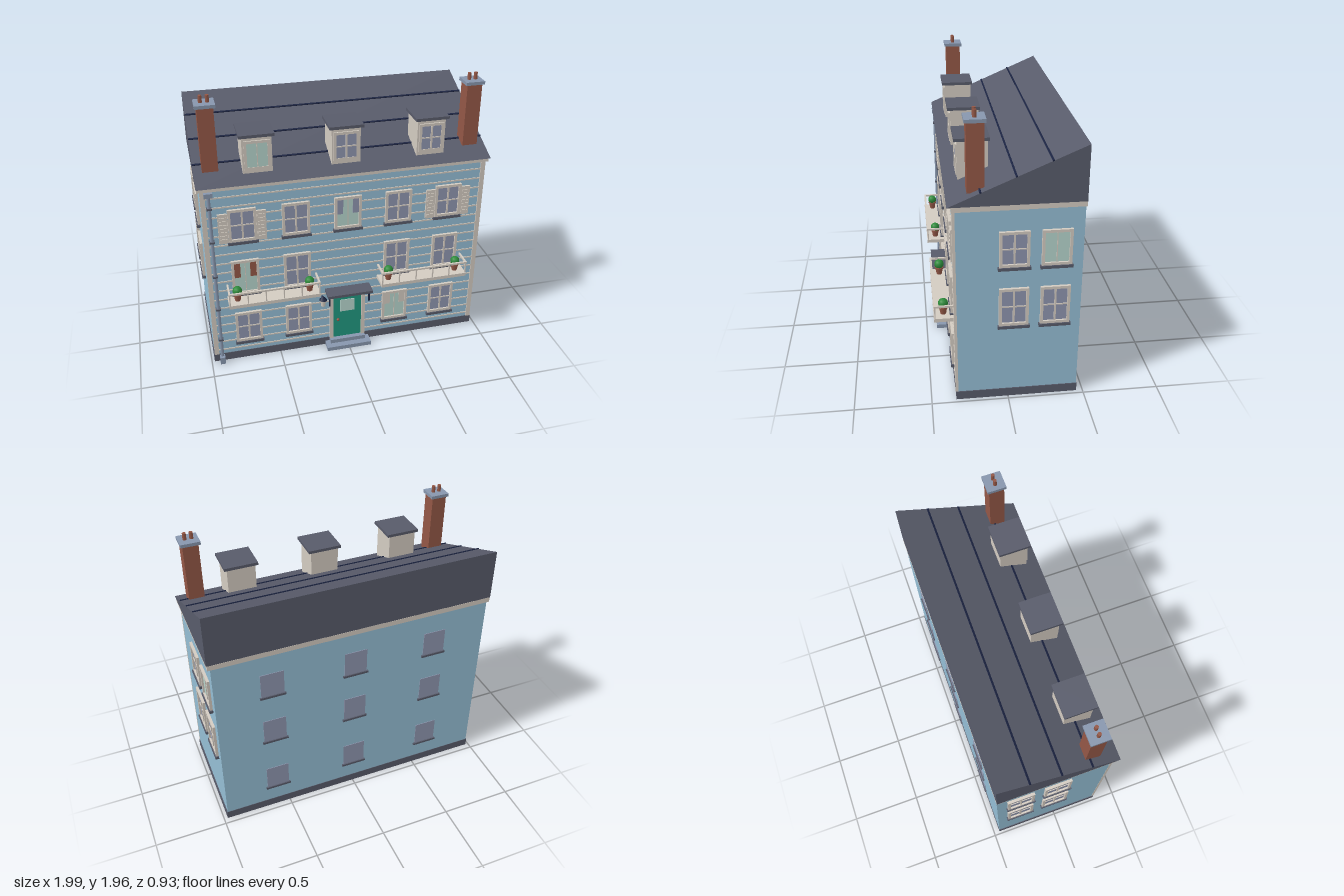
import * as THREE from 'three';

const mat = (name, color, side = THREE.FrontSide) => {
  const m = new THREE.MeshStandardMaterial({ color, side });
  m.name = name;
  return m;
};
const M = {
  wall: mat('blue siding', 0x94bdd4),
  trim: mat('cream trim', 0xd3cbc1),
  slate: mat('slate', 0x585b6a),
  glass: mat('window glass', 0x8e95ae),
  stone: mat('grey stone', 0x8796ad),
  navy: mat('dark navy', 0x1b2340),
  brick: mat('brick red', 0x935746),
  door: mat('door green', 0x20967f),
  curtain: mat('pale curtain', 0xb5d5cc),
  leaf: mat('leaf green', 0x2c8a3a),
};

const FRONT = 0.335, BACK = -0.455, HALF = 0.972;

function add(parent, name, geo, material, x = 0, y = 0, z = 0) {
  const mesh = new THREE.Mesh(geo, material);
  mesh.name = name;
  mesh.position.set(x, y, z);
  parent.add(mesh);
  return mesh;
}

// Box given by its extents on each axis
function box(parent, name, material, [x0, x1], [y0, y1], [z0, z1]) {
  return add(parent, name, new THREE.BoxGeometry(x1 - x0, y1 - y0, z1 - z0), material,
    (x0 + x1) / 2, (y0 + y1) / 2, (z0 + z1) / 2);
}

function group(parent, name, x = 0, y = 0, z = 0) {
  const g = new THREE.Group();
  g.name = name;
  g.position.set(x, y, z);
  parent.add(g);
  return g;
}

// Rectangular frame with an opening
function frameGeometry(w, h, t, depth) {
  const rect = (C, a, b) => {
    const p = new C();
    p.moveTo(-a, -b); p.lineTo(a, -b); p.lineTo(a, b); p.lineTo(-a, b); p.closePath();
    return p;
  };
  const s = rect(THREE.Shape, w / 2, h / 2);
  s.holes.push(rect(THREE.Path, w / 2 - t, h / 2 - t));
  return new THREE.ExtrudeGeometry(s, { depth, bevelEnabled: false });
}

// Window facing +z, its origin at the bottom centre on the wall plane
function makeWindow(parent, x, y, z, w, h, { style = 'plain', sill = true, out = 0.018 } = {}) {
  const g = group(parent, 'window', x, y, z);
  const t = 0.018, iw = w / 2 - t;
  add(g, 'windowFrame', frameGeometry(w, h, t, out), M.trim, 0, h / 2, 0);
  box(g, 'pane', style === 'plain' ? M.glass : M.curtain, [-iw, iw], [t, h - t], [0, 0.006]);
  if (style === 'plain') {
    box(g, 'mullion', M.trim, [-0.006, 0.006], [t, h - t], [0.004, 0.013]);
    box(g, 'glazingBar', M.trim, [-iw, iw], [h / 2 - 0.004, h / 2 + 0.004], [0.004, 0.011]);
  } else {
    for (const s of [-1, 1]) {
      const a = s * iw, b = s * (iw - 0.042);
      const xs = [Math.min(a, b), Math.max(a, b)];
      if (style === 'red') box(g, 'curtain', M.brick, xs, [h * 0.5, h - t], [0.005, 0.012]);
      if (style === 'corners') box(g, 'openPane', M.glass, xs, [h * 0.46, h - t], [0.005, 0.01]);
      if (style === 'blind') box(g, 'blind', M.trim, xs, [h * 0.55, h - t], [0.005, 0.01]);
    }
    box(g, 'mullion', M.trim, [-0.003, 0.003], [t, h - t], [0.005, 0.011]);
  }
  if (sill) box(g, 'sill', M.slate, [-w / 2 - 0.008, w / 2 + 0.008], [-0.02, 0], [0, out + 0.007]);
  return g;
}

function makeShutter(parent, x) {
  const g = group(parent, 'shutter', x, 0.975, FRONT);
  box(g, 'shutterPanel', M.trim, [-0.032, 0.032], [0, 0.22], [0, 0.014]);
  for (let i = 0; i < 7; i++)
    box(g, 'slat', M.trim, [-0.023, 0.023], [0.02 + i * 0.027, 0.035 + i * 0.027], [0.014, 0.019]);
}

function makePlant(parent, x) {
  const g = group(parent, 'pottedPlant', x, 0.55, 0.4);
  add(g, 'pot', new THREE.CylinderGeometry(0.027, 0.019, 0.048, 12), M.brick, 0, 0.024, 0);
  add(g, 'potRim', new THREE.CylinderGeometry(0.031, 0.031, 0.01, 12), M.brick, 0, 0.05, 0);
  const ball = new THREE.SphereGeometry(0.033, 10, 8);
  add(g, 'foliage', ball, M.leaf, 0, 0.076, 0);
}

function makeBalcony(parent, cx) {
  const g = group(parent, 'balcony', cx);
  const w = 0.315, zf = 0.463;
  box(g, 'balconyFloor', M.trim, [-w, w], [0.525, 0.55], [FRONT, zf]);
  box(g, 'frontRail', M.trim, [-w, w], [0.63, 0.643], [zf - 0.014, zf]);
  for (const s of [-1, 1])
    box(g, 'sideRail', M.trim, [s * (w - 0.006) - 0.006, s * (w - 0.006) + 0.006], [0.63, 0.643], [FRONT, zf - 0.014]);
  for (let i = 0; i < 6; i++) {
    const x = -w + 0.006 + i * (2 * w - 0.012) / 5;
    box(g, 'post', M.trim, [x - 0.004, x + 0.004], [0.55, 0.63], [zf - 0.011, zf - 0.003]);
  }
  for (const s of [-1, 1]) makePlant(g, s * 0.25);
}

function makeDormer(parent, x, style) {
  const g = group(parent, 'dormer', x);
  box(g, 'dormerBody', M.trim, [-0.097, 0.097], [1.44, 1.692], [0.095, 0.285]);
  box(g, 'dormerRoof', M.slate, [-0.115, 0.115], [1.69, 1.71], [0.085, 0.305]);
  makeWindow(g, 0, 1.465, 0.285, 0.17, 0.2, { style, sill: false, out: 0.009 });
}

function makeChimney(parent, x) {
  const g = group(parent, 'chimney', x, 0, 0.197);
  box(g, 'stack', M.brick, [-0.052, 0.052], [1.46, 1.895], [-0.052, 0.052]);
  box(g, 'chimneyCap', M.stone, [-0.065, 0.065], [1.892, 1.914], [-0.064, 0.064]);
  for (const s of [-1, 1])
    add(g, 'chimneyPot', new THREE.CylinderGeometry(0.012, 0.013, 0.048, 10), M.brick, s * 0.022, 1.936, 0);
}

export function createModel() {
  const house = new THREE.Group();
  house.name = 'townHouse';
  const body = group(house, 'building', -0.003);

  // Walls and mouldings
  box(body, 'plinth', M.slate, [-0.977, 0.977], [0, 0.06], [BACK - 0.003, FRONT + 0.004]);
  box(body, 'walls', M.wall, [-HALF, HALF], [0.06, 1.37], [BACK, FRONT]);
  box(body, 'cornice', M.trim, [-0.99, 0.99], [1.366, 1.402], [BACK - 0.004, 0.347]);
  for (let i = 0; i < 18; i++) {
    const y = 0.095 + i * 0.0717;
    box(body, 'sidingStrip', M.trim, [-0.945, 0.945], [y - 0.005, y + 0.005], [FRONT, FRONT + 0.005]);
  }
  for (const s of [-1, 1])
    box(body, 'cornerBoard', M.trim, [s * 0.957 - 0.016, s * 0.957 + 0.016], [0.06, 1.366], [FRONT - 0.01, FRONT + 0.008]);

  // Single-pitch roof with seams
  const zf = 0.372, zb = -0.458, y0 = 1.4, y1 = 1.757, slope = (y1 - y0) / (zf - zb);
  const profile = new THREE.Shape([[-zf, y0], [-zb, y0], [-zb, y1]].map(p => new THREE.Vector2(...p)));
  const roofGeo = new THREE.ExtrudeGeometry(profile, { depth: 1.988, bevelEnabled: false });
  roofGeo.rotateY(Math.PI / 2).translate(-0.994, 0, 0);
  add(body, 'roof', roofGeo, M.slate);
  for (const z of [0.175, -0.035, -0.245]) {
    const seam = add(body, 'roofSeam', new THREE.BoxGeometry(1.988, 0.008, 0.012), M.navy, 0, y0 + (zf - z) * slope + 0.002, z);
    seam.rotation.x = Math.atan(slope);
  }
  makeDormer(body, -0.585, 'pale');
  makeDormer(body, 0, 'plain');
  makeDormer(body, 0.585, 'plain');
  for (const s of [-1, 1]) makeChimney(body, s * 0.885);

  // Front windows: floor height, window height, columns with special curtains
  const rows = [
    [0.155, 0.243, [-0.715, -0.357, 0.357, 0.715], { 2: 'blind' }],
    [0.56, 0.267, [-0.715, -0.357, 0.357, 0.715], { 0: 'red' }],
    [0.98, 0.24, [-0.715, -0.357, 0, 0.357, 0.715], { 2: 'corners' }],
  ];
  for (const [y, h, xs, special] of rows)
    xs.forEach((x, i) => makeWindow(body, x, y, FRONT, 0.187, h, { style: special[i] || 'plain' }));
  for (const x of [-0.715, 0.715]) for (const s of [-1, 1]) makeShutter(body, x + s * 0.127);

  // Side windows
  for (const s of [-1, 1]) {
    const side = group(body, s > 0 ? 'leftSideWindows' : 'rightSideWindows', s * HALF);
    side.rotation.y = s * Math.PI / 2;
    for (const [y, h] of [[0.56, 0.267], [0.98, 0.24]])
      for (const z of [-0.03, -0.29])
        makeWindow(side, -s * z, y, 0, 0.187, h, { style: s > 0 && z < -0.1 && y > 0.9 ? 'pale' : 'plain' });
  }

  // Plain back windows
  for (const x of [-0.585, 0, 0.585])
    for (const y of [0.195, 0.645, 1.042]) {
      box(body, 'backWindow', M.glass, [x - 0.08, x + 0.08], [y, y + 0.18], [BACK - 0.004, BACK]);
      box(body, 'backSill', M.slate, [x - 0.09, x + 0.09], [y - 0.016, y], [BACK - 0.012, BACK]);
    }

  for (const s of [-1, 1]) makeBalcony(body, s * 0.535);

  // Entrance
  const entry = group(body, 'entrance');
  box(entry, 'lowerStep', M.stone, [-0.163, 0.163], [0, 0.03], [FRONT, 0.425]);
  box(entry, 'upperStep', M.stone, [-0.13, 0.13], [0.03, 0.06], [FRONT, 0.38]);
  box(entry, 'doorLintel', M.trim, [-0.13, 0.13], [0.435, 0.475], [FRONT, 0.357]);
  for (const s of [-1, 1]) {
    box(entry, 'doorJamb', M.trim, [s * 0.117 - 0.013, s * 0.117 + 0.013], [0.06, 0.435], [FRONT, 0.357]);
    box(entry, 'canopyBracket', M.navy, [s * 0.144 - 0.005, s * 0.144 + 0.005], [0.39, 0.475], [0.403, 0.413]);
    box(entry, 'canopyArm', M.navy, [s * 0.144 - 0.005, s * 0.144 + 0.005], [0.465, 0.475], [FRONT, 0.403]);
  }
  box(entry, 'door', M.door, [-0.104, 0.104], [0.06, 0.435], [FRONT, 0.346]);
  box(entry, 'doorWindow', M.curtain, [-0.053, 0.053], [0.285, 0.385], [0.346, 0.351]);
  add(entry, 'doorKnob', new THREE.SphereGeometry(0.011, 12, 8), M.brick, -0.07, 0.218, 0.354);
  box(entry, 'canopy', M.slate, [-0.163, 0.163], [0.475, 0.495], [FRONT, 0.443]);

  // Wall lamp
  const lamp = group(body, 'wallLamp', -0.183, 0, 0.37);
  box(lamp, 'lampArm', M.navy, [-0.006, 0.006], [0.425, 0.437], [-0.035, 0]);
  add(lamp, 'lampGlass', new THREE.CylinderGeometry(0.02, 0.016, 0.05, 8), M.trim, 0, 0.4, 0);
  add(lamp, 'lampHood', new THREE.ConeGeometry(0.029, 0.035, 8), M.navy, 0, 0.442, 0);

  // Drainpipe
  const pipe = group(body, 'drainpipe', -0.92, 0, 0.352);
  add(pipe, 'pipe', new THREE.CylinderGeometry(0.012, 0.012, 1.32, 10), M.stone, 0, 0.685, 0);
  box(pipe, 'hopper', M.stone, [-0.028, 0.028], [1.335, 1.366], [-0.017, 0.02]);
  box(pipe, 'shoe', M.stone, [-0.018, 0.018], [0.0, 0.055], [-0.013, 0.03]);
  for (const y of [0.2, 0.46, 0.73, 1.0, 1.25])
    box(pipe, 'pipeClip', M.slate, [-0.017, 0.017], [y - 0.006, y + 0.006], [-0.017, 0.015]);

  return house;
}
